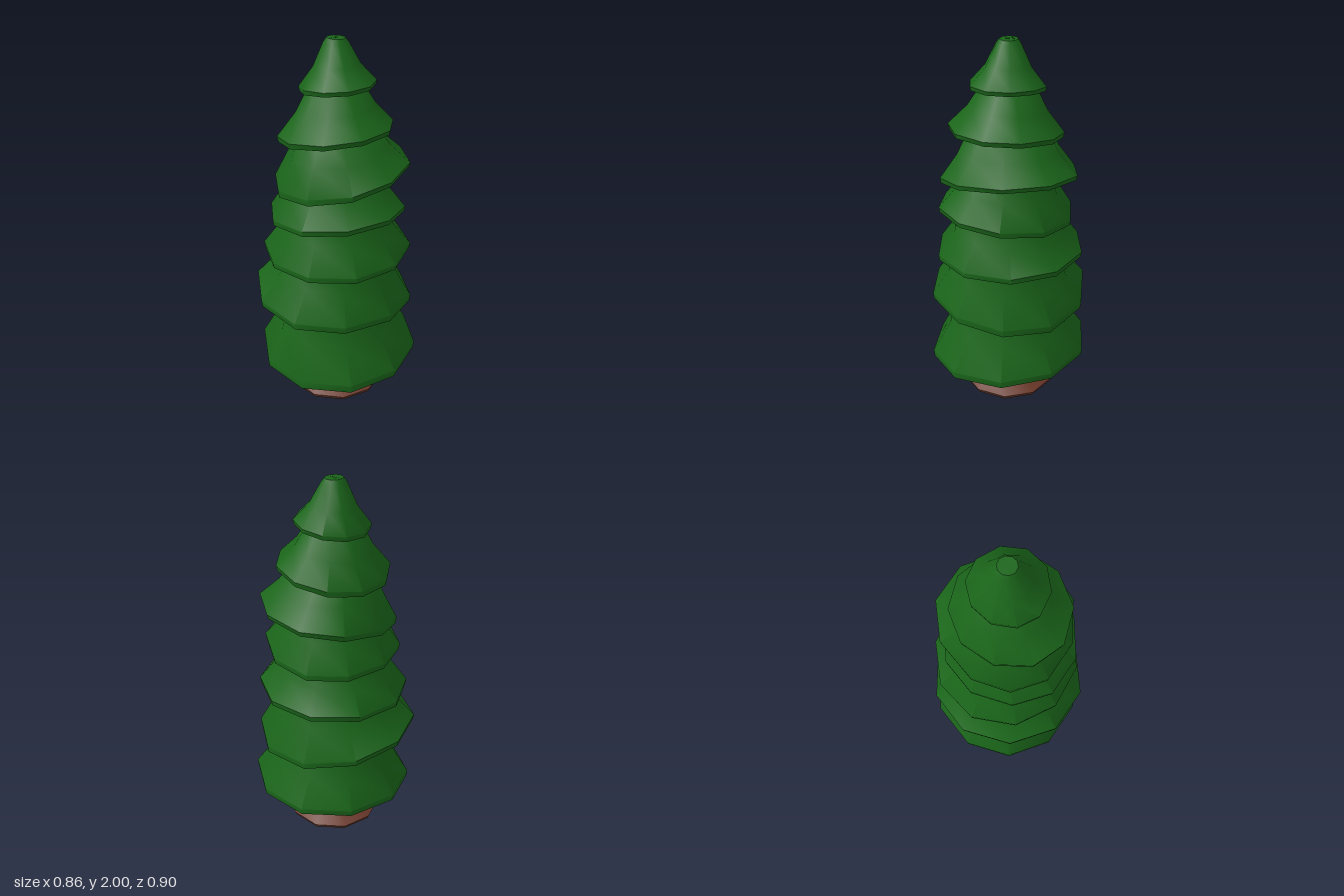
import * as THREE from 'three';
import { toCreasedNormals } from 'three/addons/utils/BufferGeometryUtils.js';

const SIDES = 10;
const lerp = THREE.MathUtils.lerp;

// Each tier: rim reach and rim height toward [left +x, right -x, front, back],
// then top radius, top height, flare of the mid ring and twist of the polygon
const TIERS = [
  { reach: [0.435, 0.41, 0.45, 0.43], rim: [0.25, 0.18, 0.215, 0.24], topR: 0.305, topY: 0.62, flare: 0.25, twist: 0 },
  { reach: [0.41, 0.435, 0.41, 0.445], rim: [0.54, 0.58, 0.56, 0.63], topR: 0.295, topY: 0.92, flare: 0.3, twist: 0 },
  { reach: [0.395, 0.375, 0.395, 0.4], rim: [0.86, 0.835, 0.85, 0.845], topR: 0.265, topY: 1.15, flare: 0.3, twist: 0.1 },
  { reach: [0.34, 0.36, 0.375, 0.335], rim: [1.065, 1.075, 1.12, 1.07], topR: 0.225, topY: 1.38, flare: 0.35, twist: 0 },
  { reach: [0.375, 0.32, 0.38, 0.32], rim: [1.34, 1.225, 1.33, 1.26], topR: 0.195, topY: 1.58, flare: 0.45, twist: 0 },
  { reach: [0.28, 0.31, 0.3, 0.27], rim: [1.53, 1.51, 1.55, 1.48], topR: 0.125, topY: 1.79, flare: 0.45, twist: 0.31 },
  { reach: [0.19, 0.19, 0.205, 0.175], rim: [1.765, 1.75, 1.77, 1.735], topR: 0.063, topY: 1.98, flare: 0.42, twist: 0.15 },
];

// A skirt of branches: a lathe whose rings blend from the uneven rim to a round top
function makeTier({ reach, rim, topR, topY, flare, twist }) {
  // [radius scale, blend toward rim, height from rim to top]
  const rings = [
    [0, 0, 0.16], [0.85, 0, 0.16], [1, 0.97, 0],
    [1, 1, 0.1], [1, flare, 0.5], [1, 0, 1], [0.75, 0, 1.09], [0, 0, 1.09],
  ];
  const geo = new THREE.LatheGeometry(rings.map(([k, s]) => new THREE.Vector2(k, s)), SIDES);
  const pos = geo.attributes.position;
  const [yl, yr, yf, yb] = rim;
  const mean = (yl + yr + yf + yb) / 4;
  const sag = (yl + yr - yf - yb) / 4;
  for (let i = 0; i < pos.count; i++) {
    const [k, s, h] = rings[i % rings.length];
    const step = Math.floor(i / rings.length) % SIDES;
    const a = (step / SIDES) * Math.PI * 2 + twist;
    const sx = Math.sin(a), cz = Math.cos(a);
    const rx = (sx > 0 ? reach[0] : reach[1]) * 1.035;
    const rz = (cz > 0 ? reach[2] : reach[3]) * 1.01;
    const rimY = mean + sx * (yl - yr) / 2 + cz * (yf - yb) / 2 + sag * (sx * sx - cz * cz);
    pos.setXYZ(i, sx * k * lerp(topR, rx, s), lerp(rimY, topY, h), cz * k * lerp(topR, rz, s));
  }
  return toCreasedNormals(geo, 0.8);
}

export function createModel() {
  const group = new THREE.Group();
  group.name = 'pineTree';
  const leaves = new THREE.MeshStandardMaterial({ color: 0x1a651a });
  const bark = new THREE.MeshStandardMaterial({ color: 0x6b3829 });

  // Trunk with a flared foot
  const outline = [[0, 0], [0.26, 0], [0.268, 0.02], [0.155, 0.1], [0.143, 0.2], [0.14, 0.32], [0, 0.32]];
  const trunkGeo = new THREE.LatheGeometry(outline.map(([r, y]) => new THREE.Vector2(r, y)), SIDES);
  const trunk = new THREE.Mesh(toCreasedNormals(trunkGeo, 0.8), bark);
  trunk.name = 'trunk';
  group.add(trunk);

  // Branch tiers, bottom to top
  TIERS.forEach((tier, i) => {
    const mesh = new THREE.Mesh(makeTier(tier), leaves);
    mesh.name = `branchTier${i + 1}`;
    group.add(mesh);
  });
  return group;
}
